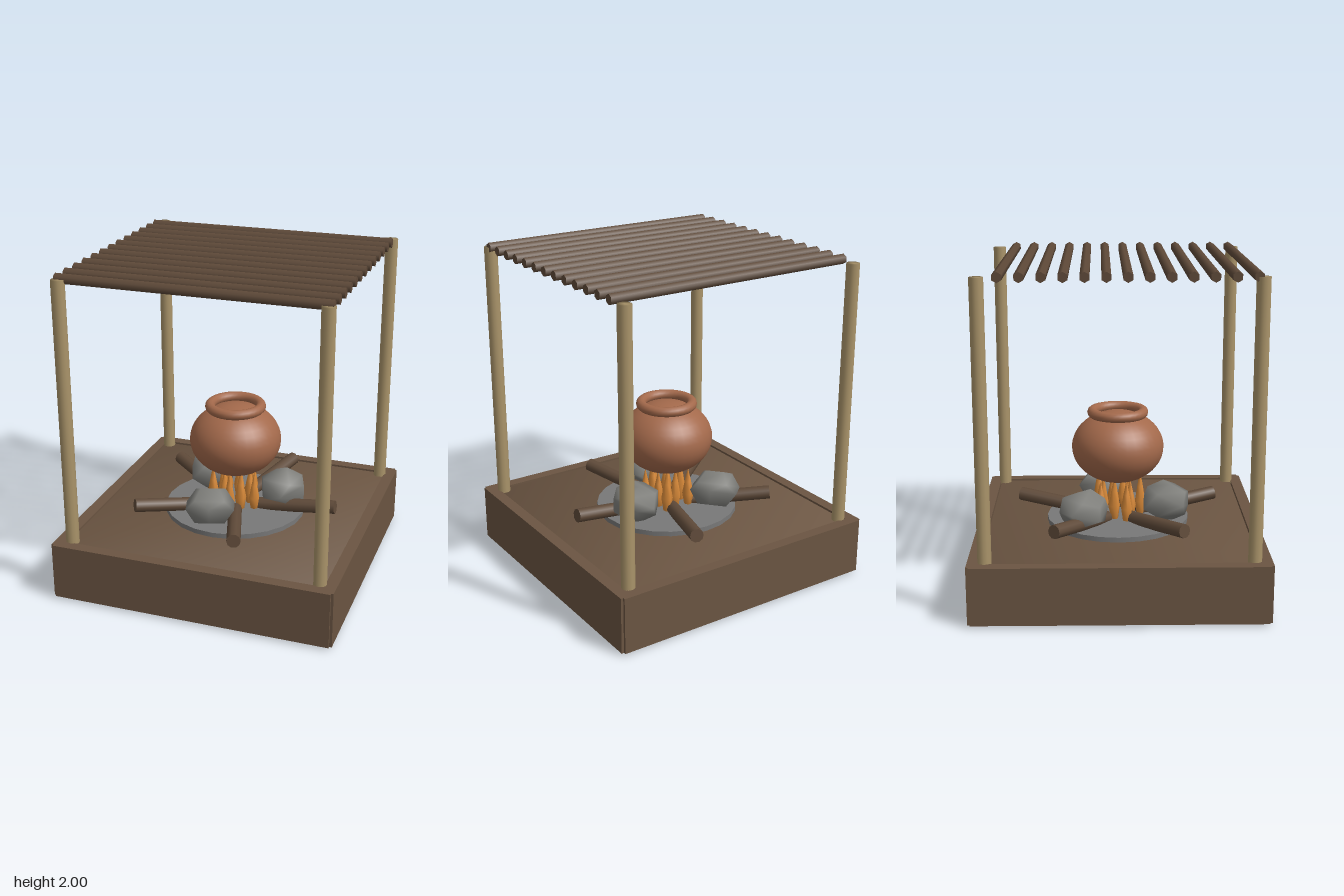
import * as THREE from 'three';
import { mergeVertices } from 'three/addons/utils/BufferGeometryUtils.js';

const material = (name, color) => {
  const m = new THREE.MeshStandardMaterial({ color });
  m.name = name;
  return m;
};

// Weld all corners so the shading rolls over every edge
function welded(geometry) {
  geometry.deleteAttribute('normal');
  geometry.deleteAttribute('uv');
  const g = mergeVertices(geometry, 1e-4);
  g.computeVertexNormals();
  return g;
}

export function createModel() {
  const model = new THREE.Group();
  model.name = 'campKitchen';

  const earth = material('earthBrown', 0x6b5542);
  const postWood = material('paleWood', 0xaa946a);
  const darkWood = material('darkWood', 0x5f4a39);
  const ash = material('ashGrey', 0x787878);
  const stone = material('stoneGrey', 0x80807c);
  const clay = material('terracotta', 0xa3694b);
  const fire = material('flameOrange', 0xdc8c3a);

  const add = (name, geometry, mat, x = 0, y = 0, z = 0) => {
    const mesh = new THREE.Mesh(geometry, mat);
    mesh.name = name;
    mesh.position.set(x, y, z);
    model.add(mesh);
    return mesh;
  };

  // Earth floor, framed by four overlapping boards
  add('floor', welded(new THREE.BoxGeometry(1.58, 0.35, 1.58)), earth, 0, 0.175, 0);
  const endBoard = new THREE.BoxGeometry(1.7, 0.345, 0.07);
  const sideBoard = new THREE.BoxGeometry(0.07, 0.345, 1.7);
  for (const s of [-1, 1]) {
    add('endBoard', endBoard, earth, 0, 0.1875, s * 0.83);
    add('sideBoard', sideBoard, earth, s * 0.83, 0.1875, 0);
  }

  // Corner posts
  const postGeometry = welded(new THREE.CylinderGeometry(0.04, 0.04, 1.63, 12));
  for (const x of [-0.765, 0.765])
    for (const z of [-0.765, 0.765]) add('cornerPost', postGeometry, postWood, x, 1.155, z);

  // Open roof of hexagonal poles
  const poleGeometry = new THREE.CylinderGeometry(0.03, 0.03, 1.58, 6);
  poleGeometry.rotateZ(Math.PI / 2);
  poleGeometry.rotateX(Math.PI / 2);
  for (let i = 0; i < 13; i++) add('roofPole', poleGeometry, darkWood, 0, 1.97, 0.74 - i * 0.1162);

  // Hearth disc
  add('hearth', new THREE.CylinderGeometry(0.44, 0.44, 0.04, 24), ash, 0, 0.36, 0);

  // Five logs pointing at the fire, outer ends raised
  const up = new THREE.Vector3(0, 1, 0);
  for (let i = 0; i < 5; i++) {
    const a = (i * Math.PI * 2) / 5;
    const inner = new THREE.Vector3(Math.cos(a) * 0.12, 0.39, Math.sin(a) * 0.12);
    const outer = new THREE.Vector3(Math.cos(a) * 0.65, 0.45, Math.sin(a) * 0.65);
    const axis = outer.clone().sub(inner);
    const log = add('log', new THREE.CylinderGeometry(0.042, 0.042, axis.length(), 10), darkWood);
    log.position.copy(inner).add(outer).multiplyScalar(0.5);
    log.quaternion.setFromUnitVectors(up, axis.normalize());
  }

  // Three stones holding up the pot
  const stoneGeometry = welded(new THREE.DodecahedronGeometry(0.158, 0));
  [[-0.06, 0.3, 0.3], [0.285, -0.09, 1.4], [-0.225, -0.21, 2.3]].forEach(([x, z, turn]) => {
    const rock = add('hearthStone', stoneGeometry, stone, x, 0.485, z);
    rock.scale.y = 0.8;
    rock.rotation.y = turn;
  });

  // Ring of flames, each swelling then narrowing to a tip
  const flameProfile = [[0, 0], [0.022, 0], [0.036, 0.09], [0.02, 0.18], [0, 0.28]]
    .map(([r, y]) => new THREE.Vector2(r, y));
  const flameGeometry = new THREE.LatheGeometry(flameProfile, 6);
  for (let i = 0; i < 10; i++) {
    const a = i * Math.PI * 0.2 + 0.25;
    const r = i % 2 ? 0.09 : 0.14;
    const flame = add('flame', flameGeometry, fire, Math.cos(a) * r, 0.37, Math.sin(a) * r);
    flame.scale.y = 0.9 + 0.07 * (i % 3);
    flame.rotation.y = a;
  }

  // Round pot with a rolled rim
  const body = add('potBody', new THREE.SphereGeometry(0.284, 32, 20), clay, 0, 0.822, 0);
  body.scale.y = 0.79;
  const rim = add('potRim', new THREE.TorusGeometry(0.157, 0.031, 12, 32), clay, 0, 1.04, 0);
  rim.rotation.x = Math.PI / 2;

  return model;
}
